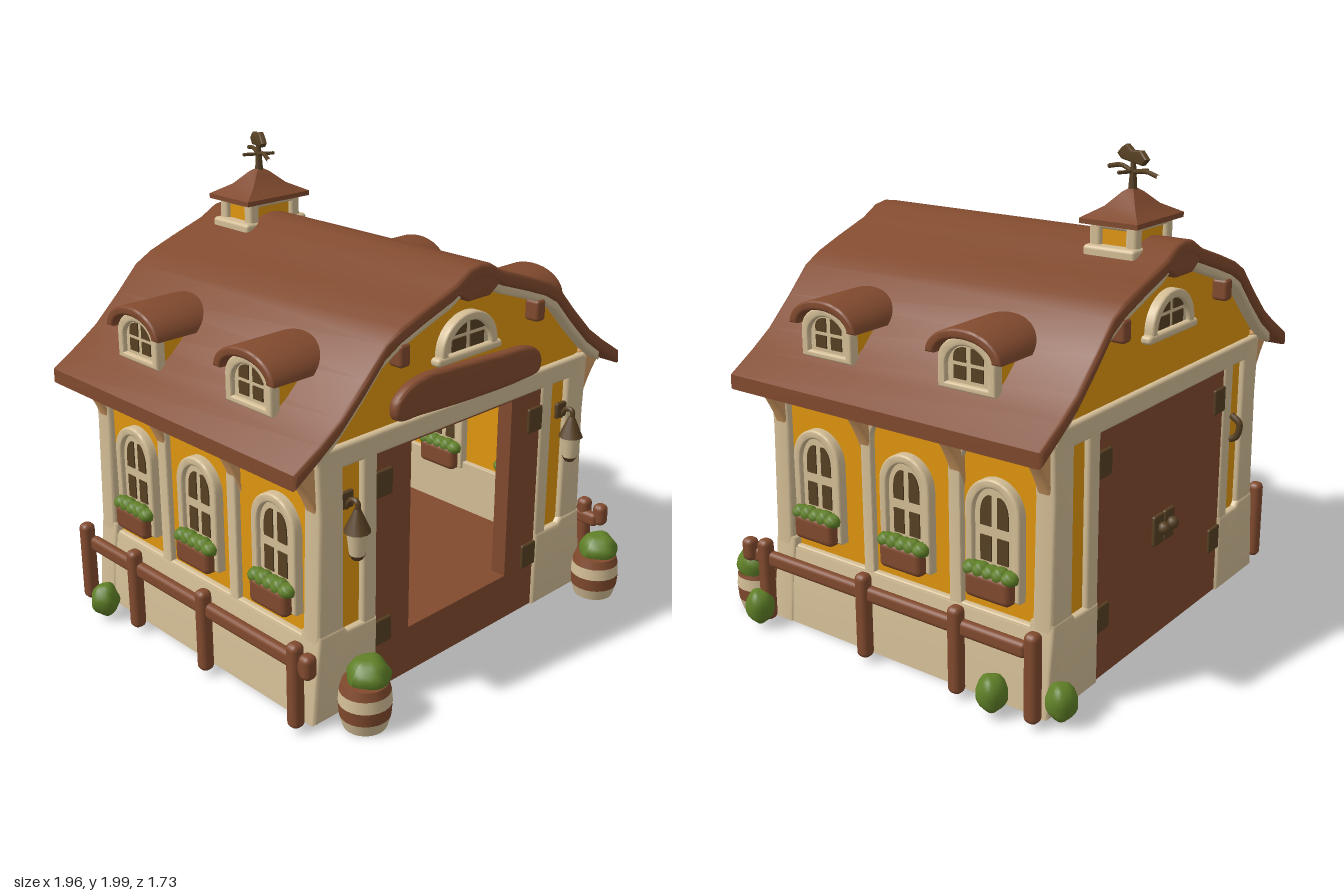
import * as THREE from 'three';
import { toCreasedNormals } from 'three/addons/utils/BufferGeometryUtils.js';
import { RoundedBoxGeometry } from 'three/addons/geometries/RoundedBoxGeometry.js';

const mat = (name, color) => Object.assign(new THREE.MeshStandardMaterial({ color }), { name });
const brown = mat('brown wood', 0x814a2e), yellow = mat('yellow plaster', 0xe0960e), cream = mat('cream plaster', 0xd3bd95);
const dark = mat('dark brown', 0x574023), green = mat('leaf green', 0x5f7f27), tan = mat('tan wood', 0xd19b62);

const FRONT = 0.64, BACK = -0.74;
// right half of the roof line, from ridge to eave
const ROOF = [[0, 1.665], [0.06, 1.655], [0.14, 1.61], [0.3, 1.555], [0.42, 1.51], [0.5, 1.465], [0.6, 1.36], [0.72, 1.245], [0.82, 1.175], [0.94, 1.1]];

function add(parent, name, geo, material, x = 0, y = 0, z = 0) {
  const m = new THREE.Mesh(geo, material);
  m.name = name;
  m.position.set(x, y, z);
  parent.add(m);
  return m;
}
function group(parent, name, x = 0, y = 0, z = 0, ry = 0) {
  const g = new THREE.Group();
  g.name = name;
  g.position.set(x, y, z);
  g.rotation.y = ry;
  parent.add(g);
  return g;
}
const poly = pts => new THREE.Shape(pts.map(p => new THREE.Vector2(p[0], p[1])));
const box = (w, h, d, r = 0.015) => new RoundedBoxGeometry(w, h, d, 3, Math.min(r, w / 2.1, h / 2.1, d / 2.1));
// extrusion from z = 0 to z = depth, bevel included
function slab(shape, depth, bevel = 0) {
  const g = new THREE.ExtrudeGeometry(shape, {
    depth: depth - 2 * bevel, bevelEnabled: bevel > 0, bevelSize: bevel, bevelThickness: bevel, bevelOffset: -bevel, bevelSegments: 3, curveSegments: 14,
  });
  return toCreasedNormals(g.translate(0, 0, bevel), 0.75);
}
const tube = (pts, r) => new THREE.TubeGeometry(new THREE.CatmullRomCurve3(pts.map(p => new THREE.Vector3(...p))), 14, r, 8);
function arch(w, h, rise, C = THREE.Shape) {
  const s = new C();
  s.moveTo(-w / 2, 0);
  s.lineTo(w / 2, 0);
  s.lineTo(w / 2, h - rise);
  s.absellipse(0, h - rise, w / 2, rise, 0, Math.PI, false);
  s.lineTo(-w / 2, 0);
  return s;
}
// strip following the roof line between two vertical offsets
function roofBand(top, bottom, xMax) {
  const half = ROOF.filter(p => p[0] <= xMax);
  const line = [...half.slice(1).reverse().map(p => [-p[0], p[1]]), ...half];
  return poly([...line.map(p => [p[0], p[1] - top]), ...line.reverse().map(p => [p[0], p[1] - bottom])]);
}
function bush(parent, x, y, z, rx, ry) {
  const g = new THREE.SphereGeometry(1, 20, 14), p = g.attributes.position;
  for (let i = 0; i < p.count; i++) {
    const a = p.getX(i), b = p.getY(i), c = p.getZ(i);
    const k = 1 + 0.07 * Math.sin(5 * a + 2 * b) * Math.cos(4 * c - 3 * b);
    p.setXYZ(i, a * k * rx, b * k * ry, c * k * rx);
  }
  g.computeVertexNormals();
  add(parent, 'bush', g, green, x, y, z);
}
// arched window with four panes, facing +z, sill at y = 0
function arched(parent, w, h, rise, pw, low, high, gap) {
  add(parent, 'windowPanel', slab(arch(w, h, rise), 0.02), cream);
  const ring = arch(w, h, rise), hole = arch(w - 0.07, h - 0.06, rise - 0.015, THREE.Path);
  ring.holes.push(new THREE.Path(hole.getPoints(14).map(p => new THREE.Vector2(p.x, p.y + 0.025))));
  add(parent, 'windowFrame', slab(ring, 0.04, 0.008), cream);
  for (const s of [-1, 1]) for (const [y0, y1, r] of [[...low, 0], [...high, 0.7]]) {
    const a = s * gap, b = s * (gap + pw), hgt = y1 - y0, q = new THREE.Shape();
    q.moveTo(a, y0);
    q.lineTo(b, y0);
    q.lineTo(b, y1 - hgt * r);
    q.quadraticCurveTo(b, y1 - hgt * r * 0.2, b - s * pw * r, y1);
    q.lineTo(a, y1);
    add(parent, 'windowPane', slab(q, 0.006), dark, 0, 0, 0.019);
  }
}
function sideWindow(parent, x, z, ry) {
  const g = group(parent, 'sideWindow', x, 0.42, z, ry);
  arched(g, 0.25, 0.46, 0.13, 0.05, [0.13, 0.23], [0.27, 0.39], 0.014);
  add(g, 'flowerBox', box(0.21, 0.11, 0.08, 0.025), brown, 0, 0.045, 0.04);
  for (let i = -2; i <= 2; i++) bush(g, i * 0.044, 0.098, 0.045, 0.036, 0.03 + 0.005 * (i & 1));
}
// one gable end facing +z, outer face near z = 0
function gableEnd(parent, name, z, ry, isFront) {
  const g = group(parent, name, 0, 0, z, ry);
  const top = ROOF.filter(p => p[0] <= 0.75).map(p => [p[0], p[1] - 0.03]);
  const wall = poly([[-0.75, 0.02], [0.75, 0.02], ...top.slice().reverse(), ...top.slice(1).map(p => [-p[0], p[1]])]);
  const rect = (x, y0, y1) => new THREE.Path([[-x, y0], [-x, y1], [x, y1], [x, y0]].map(p => new THREE.Vector2(...p)));
  wall.holes.push(rect(0.47, 0.03, 1.02));
  add(g, 'gableWall', slab(wall, 0.05), yellow, 0, 0, -0.065);
  const door = poly([[-0.485, 0.015], [0.485, 0.015], [0.485, 1.03], [-0.485, 1.03]]);
  if (isFront) door.holes.push(rect(0.297, 0.22, 1.02));
  add(g, 'barnDoor', slab(door, 0.07), brown, 0, 0, -0.07);
  add(g, 'doorBeam', box(1.56, 0.09, 0.07), cream, 0, 1.07, -0.025);
  for (const s of [-1, 1]) {
    add(g, 'doorPost', box(0.075, 1.04, 0.07), cream, s * 0.52, 0.54, -0.025);
    const post = poly([[0.655, 0.3], [0.79, 0.3], [0.775, 0.85], [0.785, 1.1], [0.655, 1.1]].map(p => [s * p[0], p[1]]));
    add(g, 'cornerPost', slab(post, 0.09, 0.015), cream, 0, 0, -0.08);
    const foot = poly([[0.485, 0.01], [0.82, 0.01], [0.805, 0.2], [0.785, 0.38], [0.66, 0.38], [0.64, 0.355], [0.485, 0.355]].map(p => [s * p[0], p[1]]));
    add(g, 'cornerFoot', slab(foot, 0.11, 0.015), cream, 0, 0, -0.095);
    for (const y of [0.27, 0.9]) add(g, 'hinge', box(0.09, 0.11, 0.02, 0.008), dark, s * 0.447, y, 0.001);
    add(g, 'rafterEnd', box(0.055, 0.09, 0.07), brown, s * 0.39, 1.395, 0.02);
    if (isFront) lantern(g, s * 0.635);
  }
  add(g, 'rafterTrim', slab(roofBand(0.05, 0.095, 0.85), 0.055, 0.01), cream, 0, 0, -0.01);
  add(g, 'ridgeEnd', slab(poly([[-0.12, 1.57], [-0.06, 1.53], [0.06, 1.53], [0.12, 1.57], [0.05, 1.63], [-0.05, 1.63]]), 0.06, 0.01), brown, 0, 0, 0.002);
  const win = group(g, 'gableWindow', 0, 1.295, -0.015);
  arched(win, 0.32, 0.175, 0.14, 0.08, [0.03, 0.08], [0.095, 0.145], 0.012);
  add(win, 'windowSill', box(0.37, 0.035, 0.05), cream, 0, 0.01, 0.02);
  if (isFront) {
    const pts = [[-0.42, 1.15], [-0.3, 1.14], [0, 1.125], [0.3, 1.125], [0.4, 1.14], [0.41, 1.2], [0.36, 1.25], [0.15, 1.27], [-0.1, 1.285], [-0.28, 1.29], [-0.38, 1.26], [-0.43, 1.21]];
    const curve = new THREE.CatmullRomCurve3(pts.map(p => new THREE.Vector3(p[0], p[1], 0)), true);
    add(g, 'signBoard', slab(poly(curve.getPoints(48).slice(0, -1).map(p => [p.x, p.y])), 0.05, 0.015), brown, 0, 0, 0.005);
  } else {
    for (const side of [0.005, -0.075]) for (const s of [-1, 1]) {
      add(g, 'handlePlate', box(0.075, 0.13, 0.02, 0.008), dark, s * 0.042, 0.49, side);
      add(g, 'handle', new THREE.SphereGeometry(0.026, 12, 8), dark, s * 0.035, 0.5, side + Math.sign(side) * 0.025);
    }
    add(g, 'wallHook', tube([[0.55, 0.7, 0.01], [0.55, 0.72, 0.04], [0.55, 0.78, 0.05], [0.55, 0.81, 0.01]], 0.015), dark);
  }
}
function lantern(parent, x) {
  const g = group(parent, 'lantern', x, 0, 0.055);
  add(g, 'lanternPlate', box(0.07, 0.07, 0.02, 0.008), dark, 0, 0.89, -0.06);
  add(g, 'lanternArm', tube([[0, 0.86, -0.06], [0, 0.9, -0.03], [0, 0.9, 0], [0, 0.85, 0]], 0.011), dark);
  add(g, 'lanternCap', new THREE.CylinderGeometry(0.012, 0.052, 0.09, 12), dark, 0, 0.83, 0);
  add(g, 'lanternGlass', new THREE.CylinderGeometry(0.042, 0.03, 0.1, 12), cream, 0, 0.74, 0);
  add(g, 'lanternBase', new THREE.CylinderGeometry(0.033, 0.02, 0.02, 12), dark, 0, 0.683, 0);
}
// long side wall on side s (+1 or -1)
function sideWall(parent, s) {
  const g = group(parent, 'sideWall'), mid = (FRONT + BACK) / 2;
  const base = poly([[0.69, 0.01], [0.815, 0.01], [0.8, 0.2], [0.78, 0.335], [0.69, 0.335]].map(p => [s * p[0], p[1]]));
  add(g, 'wallBase', slab(base, 1.34), cream, 0, 0, BACK + 0.02);
  add(g, 'wallPlaster', box(0.05, 0.88, 1.34, 0.003), yellow, s * 0.725, 0.75, mid);
  add(g, 'innerWainscot', box(0.03, 0.26, 1.26, 0.003), cream, s * 0.69, 0.32, mid);
  const frame = poly([[-FRONT + 0.02, 0.31], [-BACK - 0.02, 0.31], [-BACK - 0.02, 1.09], [-FRONT + 0.02, 1.09]].map(p => [-p[0] * s, p[1]]));
  for (const [z, w] of [[0.375, 0.41], [-0.075, 0.38], [-0.505, 0.36]]) {
    const h = arch(w, 0.68, 0.12, THREE.Path).getPoints(14).map(p => new THREE.Vector2(p.x - s * z, p.y + 0.345));
    if (s < 0) h.forEach(p => { p.x = -p.x; p.x = -p.x; });
    frame.holes.push(new THREE.Path(h));
  }
  const shell = new THREE.Shape(frame.getPoints().map(p => new THREE.Vector2(-p.x, p.y)));
  shell.holes = frame.holes;
  add(g, 'timberFrame', slab(shell, 0.04, 0.008), cream, s * 0.735).rotation.y = s * Math.PI / 2;
  for (const z of [0.6, 0.15, -0.3, -0.7]) {
    const b = new THREE.Shape();
    b.moveTo(s * 0.75, 0.8);
    b.quadraticCurveTo(s * 0.8, 0.97, s * 0.9, 1.07);
    b.lineTo(s * 0.87, 1.12);
    b.lineTo(s * 0.75, 1.12);
    add(g, 'eaveBrace', slab(b, 0.06, 0.01), tan, 0, 0, z - 0.03);
  }
  for (const z of [0.4, -0.06, -0.48]) {
    sideWindow(g, s * 0.75, z, s * Math.PI / 2);
    sideWindow(g, s * 0.7, z, -s * Math.PI / 2);
  }
  // fence
  const f = group(parent, 'fence');
  add(f, 'fenceRail', box(0.045, 0.065, 1.4, 0.02), brown, s * 0.87, 0.305, 0);
  for (const z of [0.62, 0.08, -0.38, -0.73]) add(f, 'fencePost', box(0.06, 0.36, 0.06, 0.024), brown, s * 0.88, 0.21, z);
  add(f, 'fenceEnd', box(0.06, 0.1, 0.06, 0.024), brown, s * 0.89, 0.33, 0.7);
  // dormers
  for (const z of [0.3, -0.38]) {
    const d = group(parent, 'dormer', s * 0.77, 0, z, s * Math.PI / 2);
    add(d, 'dormerBody', slab(arch(0.23, 0.22, 0.08), 0.28), yellow, 0, 1.17, -0.28);
    const w = group(d, 'dormerWindow', 0, 1.195, -0.005);
    arched(w, 0.26, 0.205, 0.1, 0.055, [0.04, 0.09], [0.105, 0.16], 0.012);
    const r = new THREE.Shape();
    r.absellipse(0, 1.325, 0.17, 0.108, 0, Math.PI, false);
    r.absellipse(0, 1.325, 0.13, 0.07, Math.PI, 0, true);
    add(d, 'dormerRoof', slab(r, 0.34, 0.01), brown, 0, 0, -0.28);
  }
}
function barrel(parent, x, z) {
  const g = group(parent, 'barrelPlanter', x, 0, z);
  const rad = [0.085, 0.1, 0.104, 0.1, 0.09], ys = [0.01, 0.06, 0.115, 0.165, 0.2];
  for (let i = 0; i < 4; i++)
    add(g, 'barrelBand', new THREE.CylinderGeometry(rad[i + 1], rad[i], ys[i + 1] - ys[i], 24), i % 2 ? brown : cream, 0, (ys[i] + ys[i + 1]) / 2, 0);
  bush(g, 0.02, 0.215, 0, 0.085, 0.075);
}
function cupola(parent) {
  const g = group(parent, 'cupola', 0.005, 0, -0.565);
  add(g, 'cupolaBody', box(0.24, 0.2, 0.17, 0.005), yellow, 0, 1.64, 0);
  for (const x of [-1, 1]) for (const z of [-1, 1]) add(g, 'cupolaPost', box(0.05, 0.18, 0.05), cream, x * 0.115, 1.65, z * 0.08);
  add(g, 'cupolaBase', box(0.34, 0.05, 0.23), cream, 0, 1.61, 0);
  add(g, 'cupolaLintel', box(0.27, 0.04, 0.21), cream, 0, 1.715, 0);
  const roof = new THREE.LatheGeometry([[0.001, 1.845], [0.05, 1.825], [0.13, 1.775], [0.245, 1.735], [0.245, 1.715], [0.001, 1.715]].reverse().map(p => new THREE.Vector2(...p)), 4, Math.PI / 4);
  add(g, 'cupolaRoof', toCreasedNormals(roof, 0.5), brown).scale.z = 0.74;
  const v = group(g, 'weatherVane', 0, 0, 0, 1.12);
  add(v, 'vanePole', new THREE.CylinderGeometry(0.009, 0.018, 0.12, 8), dark, 0, 1.89, 0);
  add(v, 'vaneArm', tube([[-0.17, 1.9, 0], [-0.08, 1.915, 0], [0, 1.9, 0], [0.09, 1.91, 0], [0.17, 1.9, 0]], 0.009), dark);
  add(v, 'vaneCross', box(0.012, 0.014, 0.14, 0.005), dark, 0, 1.9, 0);
  add(v, 'vaneFigure', slab(poly([[-0.1, 1.96], [-0.07, 1.94], [0.07, 1.93], [0.1, 1.955], [0.06, 1.985], [0, 1.98], [-0.04, 2], [-0.07, 1.985]]), 0.025, 0.006), dark, 0, 0, -0.0125);
}

export function createModel() {
  const root = new THREE.Group();
  root.name = 'barn';
  add(root, 'floor', box(1.4, 0.19, 1.3, 0.003), brown, 0, 0.115, -0.05);
  gableEnd(root, 'frontEnd', FRONT, 0, true);
  gableEnd(root, 'backEnd', BACK, Math.PI, false);
  for (const s of [-1, 1]) sideWall(root, s);
  add(root, 'roof', slab(roofBand(0, 0.06, 1), 1.51, 0.016), brown, 0, 0, -0.805);
  cupola(root);
  barrel(root, -0.66, 0.765);
  barrel(root, 0.78, 0.765);
  for (const [x, z] of [[0.92, 0.63], [0.9, -0.56], [-0.92, -0.56], [0.8, -0.8]]) bush(root, x, 0.1, z, 0.06, 0.075);
  return root;
}
